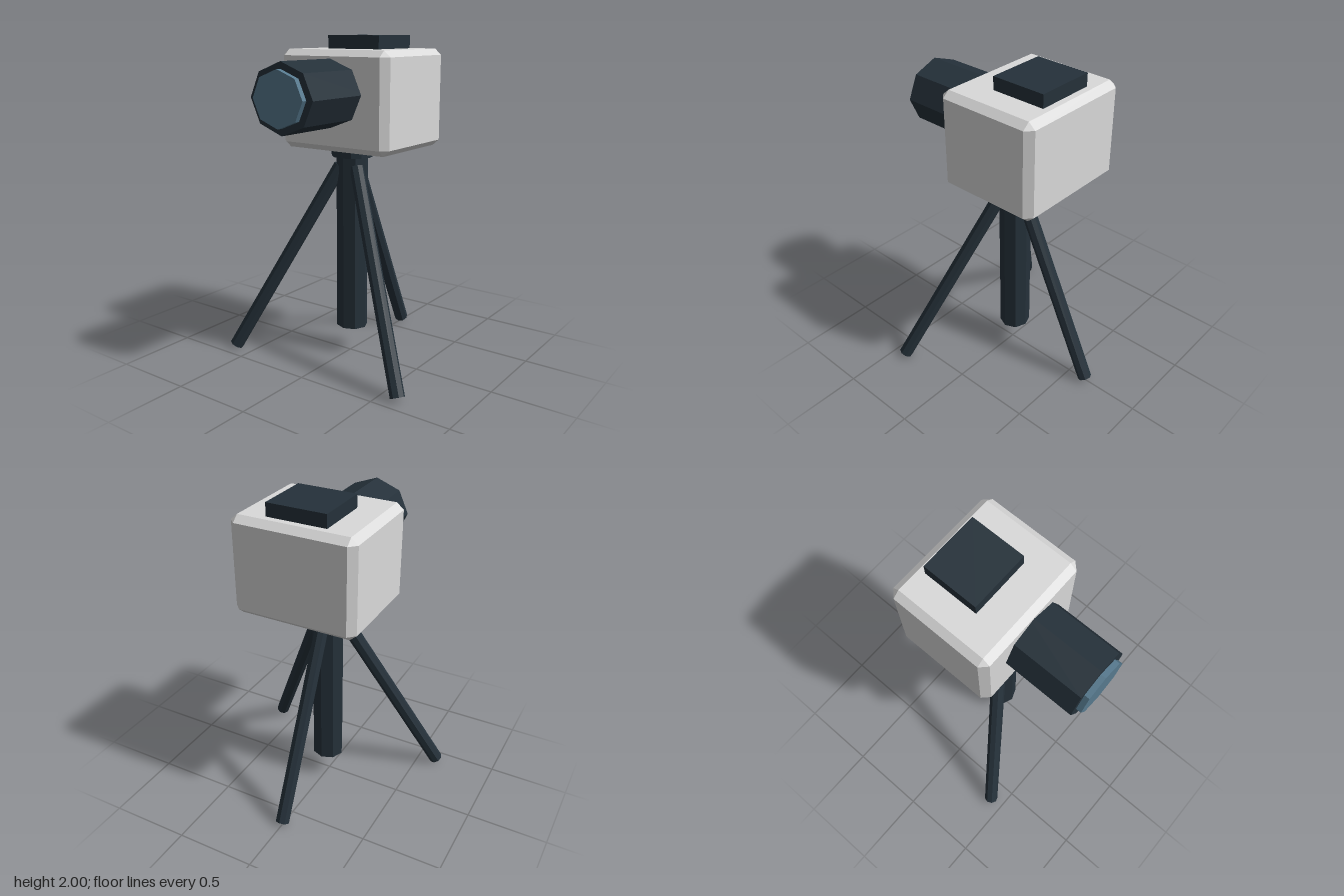
import * as THREE from 'three';
import { ConvexGeometry } from 'three/addons/geometries/ConvexGeometry.js';

const flat = (name, color) => {
  const m = new THREE.MeshStandardMaterial({ color, flatShading: true });
  m.name = name;
  return m;
};

// Box with every edge chamfered; h = half sizes, c = chamfer along each axis
function chamferedBox(h, c) {
  const points = [];
  for (const sx of [-1, 1]) for (const sy of [-1, 1]) for (const sz of [-1, 1]) {
    for (let face = 0; face < 3; face++) {
      const p = [0, 1, 2].map((i) => (i === face ? h[i] : h[i] - c[i]));
      points.push(new THREE.Vector3(p[0] * sx, p[1] * sy, p[2] * sz));
    }
  }
  return new ConvexGeometry(points);
}

export function createModel() {
  const group = new THREE.Group();
  group.name = 'tripodCamera';
  const dark = flat('dark slate', 0x25313a);
  const grey = flat('light grey', 0xdadada);
  const blue = flat('lens blue', 0x577a8f);

  const add = (name, geometry, material, x, y, z) => {
    const mesh = new THREE.Mesh(geometry, material);
    mesh.name = name;
    mesh.position.set(x, y, z);
    group.add(mesh);
    return mesh;
  };

  // Camera body and the block on top
  add('body', chamferedBox([0.385, 0.2975, 0.3265], [0.043, 0.037, 0.043]), grey, 0, 1.6225, -0.1275);
  add('topBlock', new THREE.BoxGeometry(0.37, 0.1, 0.346), dark, 0, 1.95, -0.199);

  // Octagonal lens, slightly wider than tall, pointing forward
  const barrel = (name, rx, ry, z0, z1, material) => {
    const g = new THREE.CylinderGeometry(1, 1, z1 - z0, 8);
    g.rotateX(Math.PI / 2).scale(rx, ry, 1);
    add(name, g, material, 0, 1.67, (z0 + z1) / 2);
  };
  barrel('lensBarrel', 0.219, 0.2, 0.15, 0.633, dark);
  barrel('lensGlass', 0.175, 0.16, 0.6, 0.665, blue);

  // Mounting plate and centre column
  const column = (name, rx, rz, y0, y1, sides) => {
    const g = new THREE.CylinderGeometry(1, 1, y1 - y0, sides).scale(rx, 1, rz);
    add(name, g, dark, 0, (y0 + y1) / 2, -0.02);
  };
  column('mountPlate', 0.13, 0.121, 1.275, 1.335, 12);
  column('centreColumn', 0.1, 0.095, 0.172, 1.3, 8);

  // Three splayed legs with square-cut ends
  const up = new THREE.Vector3(0, 1, 0);
  const leg = (name, top, foot) => {
    const a = new THREE.Vector3(...top), b = new THREE.Vector3(...foot);
    const axis = a.clone().sub(b);
    const mid = a.add(b).multiplyScalar(0.5);
    const mesh = add(name, new THREE.CylinderGeometry(0.044, 0.044, axis.length(), 8), dark, mid.x, mid.y, mid.z);
    mesh.quaternion.setFromUnitVectors(up, axis.normalize());
  };
  leg('leftLeg', [0.06, 1.215, 0.018], [0.622, 0.022, 0.41]);
  leg('rightLeg', [-0.06, 1.215, 0.018], [-0.622, 0.022, 0.41]);
  leg('backLeg', [0, 1.215, -0.07], [0, 0.022, -0.625]);

  return group;
}
